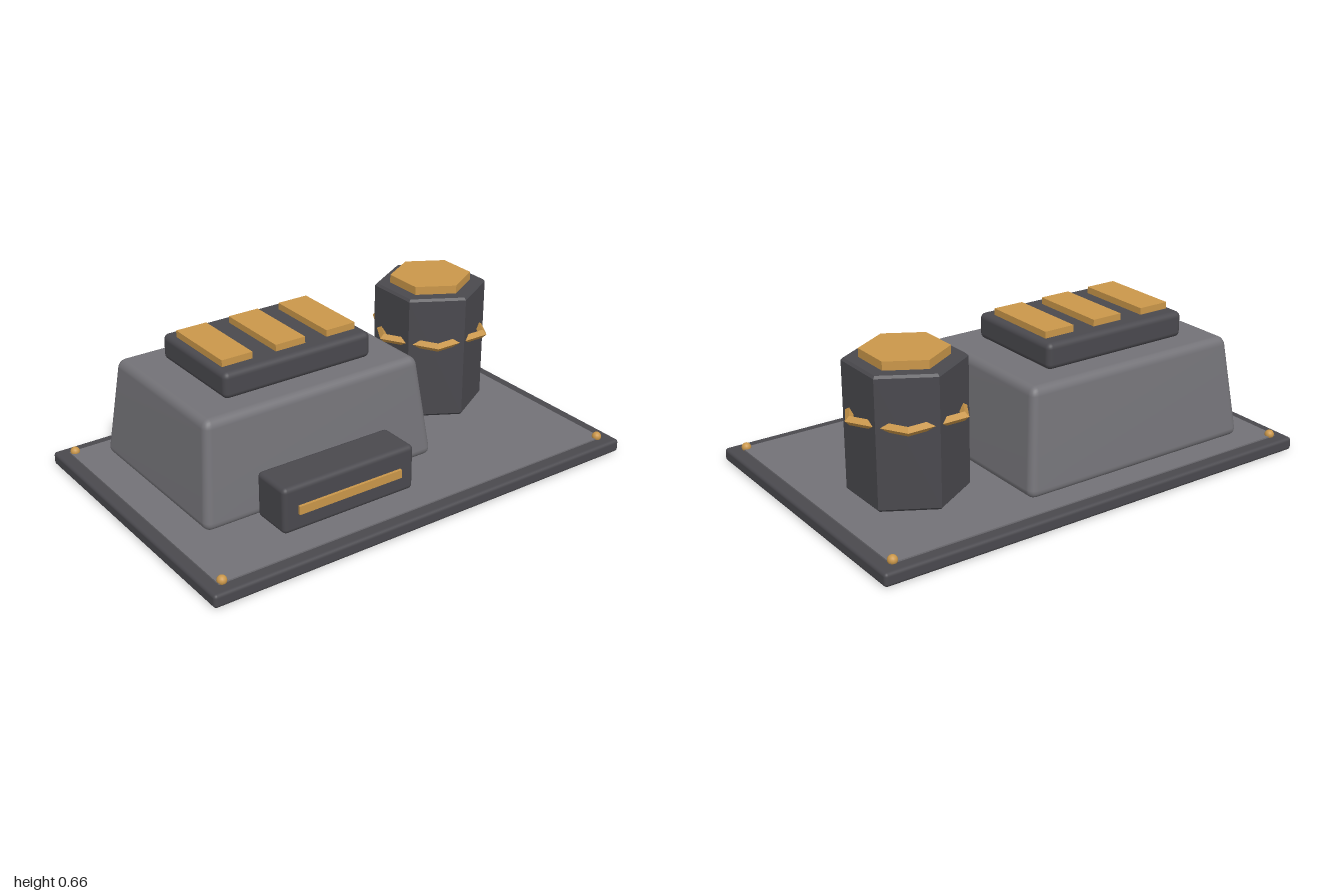
import * as THREE from 'three';
import { RoundedBoxGeometry } from 'three/addons/geometries/RoundedBoxGeometry.js';
import { mergeVertices } from 'three/addons/utils/BufferGeometryUtils.js';

const material = (name, color) => {
  const m = new THREE.MeshStandardMaterial({ color });
  m.name = name;
  return m;
};

// Faceted copy of a geometry
const facet = (geometry) => {
  const g = geometry.toNonIndexed();
  g.computeVertexNormals();
  return g;
};

export function createModel() {
  const model = new THREE.Group();
  model.name = 'machineOnPlate';
  const dark = material('darkMetal', 0x4a494e);
  const grey = material('greyMetal', 0x737277);
  const gold = material('gold', 0xca974a);

  const add = (name, geometry, mat, x = 0, y = 0, z = 0) => {
    const mesh = new THREE.Mesh(geometry, mat);
    mesh.name = name;
    mesh.position.set(x, y, z);
    model.add(mesh);
    return mesh;
  };
  // Box given by its limits; a radius rounds the edges
  const box = (name, mat, [x0, x1], [y0, y1], [z0, z1], radius = 0) => {
    const size = [x1 - x0, y1 - y0, z1 - z0];
    const g = radius ? new RoundedBoxGeometry(...size, 3, radius) : new THREE.BoxGeometry(...size);
    return add(name, g, mat, (x0 + x1) / 2, (y0 + y1) / 2, (z0 + z1) / 2);
  };

  // Base slab with an inset top plate and corner rivets
  box('baseSlab', dark, [-1, 1], [0, 0.056], [-0.653, 0.647], 0.014);
  box('basePlate', grey, [-0.95, 0.945], [0.04, 0.062], [-0.6, 0.592]);
  for (const x of [-0.93, 0.93])
    for (const z of [-0.588, 0.582])
      add('rivet', new THREE.SphereGeometry(0.02, 16, 10), gold, x, 0.065, z);

  // Main housing: a rounded box narrowing towards the top
  const h = 0.435;
  let housing = new RoundedBoxGeometry(1.09, h, 0.81, 3, 0.035);
  const p = housing.attributes.position;
  for (let i = 0; i < p.count; i++) {
    const t = p.getY(i) / h + 0.5;
    p.setX(i, p.getX(i) * (1 - 0.088 * t));
    p.setZ(i, p.getZ(i) * (1 - 0.145 * t));
  }
  housing.deleteAttribute('normal');
  housing.deleteAttribute('uv');
  housing = mergeVertices(housing, 1e-5);
  housing.computeVertexNormals();
  add('housing', housing, grey, -0.277, 0.065 + h / 2, -0.109);

  // Raised top block with three strips
  box('topBlock', dark, [-0.62, 0.065], [0.5, 0.61], [-0.347, 0.13], 0.024);
  for (const x of [-0.522, -0.278, -0.038])
    box('topStrip', gold, [x - 0.069, x + 0.069], [0.6, 0.638], [-0.28, 0.065]);

  // Front box with a slot strip
  box('frontBox', dark, [-0.585, 0.03], [0.06, 0.256], [0.28, 0.465], 0.02);
  box('frontStrip', gold, [-0.52, -0.038], [0.136, 0.172], [0.45, 0.477]);

  // Hexagonal tower with lid and ring
  const [tx, tz] = [0.585, -0.139];
  const profile = [[0, 0.07], [0.23, 0.07], [0.24, 0.08], [0.24, 0.61], [0.23, 0.62], [0, 0.62]]
    .map(([r, y]) => new THREE.Vector2(r, y));
  add('tower', facet(new THREE.LatheGeometry(profile, 6)), dark, tx, 0, tz);
  add('towerLid', facet(new THREE.CylinderGeometry(0.174, 0.174, 0.045, 6)), gold, tx, 0.633, tz);
  const ring = new THREE.TorusGeometry(0.248, 0.019, 4, 6).rotateX(Math.PI / 2);
  add('towerRing', facet(ring), gold, tx, 0.416, tz);

  return model;
}
